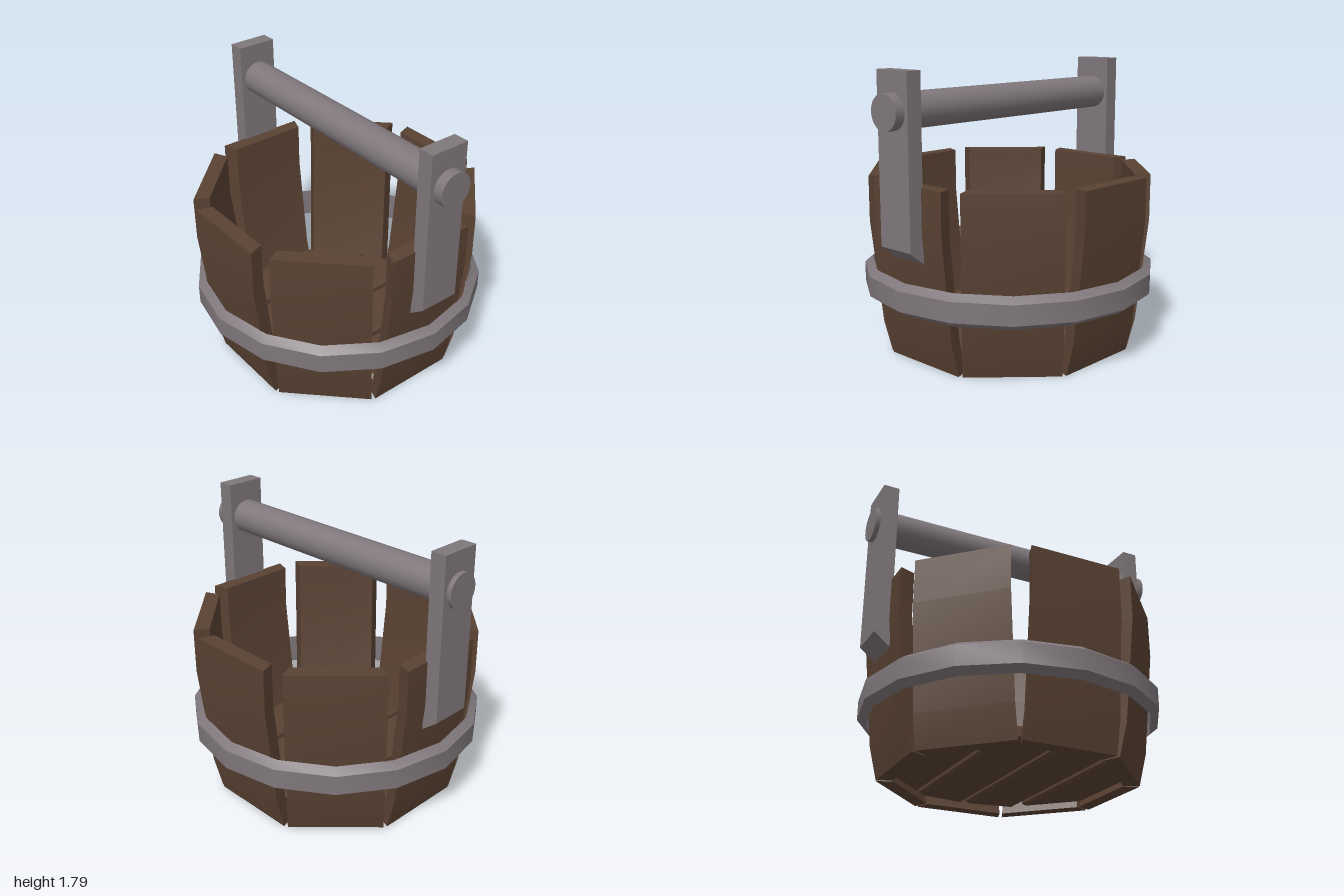
import * as THREE from 'three';
import { toCreasedNormals } from 'three/addons/utils/BufferGeometryUtils.js';

const wood = new THREE.MeshStandardMaterial({ color: 0x5a4233 });
wood.name = 'brown wood';
const iron = new THREE.MeshStandardMaterial({ color: 0x7f777b });
iron.name = 'grey iron';

function addMesh(parent, name, geometry, material) {
  const mesh = new THREE.Mesh(geometry, material);
  mesh.name = name;
  parent.add(mesh);
  return mesh;
}

// A stave is a box bent along a [height, outer distance] profile, narrower inside
function staveGeometry() {
  const profile = [[0, 0.745], [0.2, 0.795], [0.85, 0.865], [1.13, 0.865]];
  const geo = new THREE.BoxGeometry(2, 3, 1, 1, 3, 1);
  const p = geo.attributes.position;
  for (let i = 0; i < p.count; i++) {
    const [y, outer] = profile[Math.round(p.getY(i) + 1.5)];
    const inside = p.getZ(i) < 0;
    p.setXYZ(i, p.getX(i) * (inside ? 0.26 : 0.295), y, inside ? outer - 0.095 : outer);
  }
  return toCreasedNormals(geo, 0.4);
}

// A floor plank between x0 and x1, its ends cut to fit the octagon of staves
function plankGeometry(x0, x1) {
  const bevel = 0.025;
  const reach = (x) => Math.min(0.67, 0.945 - Math.abs(x)) - bevel;
  const a = x0 + bevel, b = x1 - bevel;
  const shape = new THREE.Shape([
    new THREE.Vector2(a, -reach(a)), new THREE.Vector2(b, -reach(b)),
    new THREE.Vector2(b, reach(b)), new THREE.Vector2(a, reach(a)),
  ]);
  const geo = new THREE.ExtrudeGeometry(shape, {
    depth: 0.05, bevelEnabled: true, bevelSize: bevel, bevelThickness: 0.02, bevelSegments: 1,
  });
  return geo.rotateX(-Math.PI / 2).translate(0, 0.06, 0);
}

// Upright bar with a slanted foot, standing on the given side (+1 or -1)
function uprightGeometry(side) {
  const shape = new THREE.Shape([
    new THREE.Vector2(side * 0.852, 0.68), new THREE.Vector2(side * 0.953, 0.76),
    new THREE.Vector2(side * 0.953, 1.795), new THREE.Vector2(side * 0.852, 1.795),
  ]);
  return new THREE.ExtrudeGeometry(shape, { depth: 0.26, bevelEnabled: false }).translate(0, 0, -0.13);
}

export function createModel() {
  const model = new THREE.Group();
  model.name = 'bucket';

  // The tub sits slightly off centre under the grip
  const tub = new THREE.Group();
  tub.name = 'tub';
  tub.position.x = -0.017;
  model.add(tub);

  const stave = staveGeometry();
  for (let i = 0; i < 8; i++) {
    addMesh(tub, 'stave', stave, wood).rotation.y = (i * Math.PI) / 4;
  }

  // Floor planks, two on each side of the middle gap
  for (const [x0, x1] of [[-0.7, -0.37], [-0.345, -0.012], [0.012, 0.345], [0.37, 0.7]]) {
    addMesh(tub, 'floorPlank', plankGeometry(x0, x1), wood);
  }

  // Sixteen-sided hoop with bevelled outer edges
  const hoopProfile = [[0.888, 0.545], [0.888, 0.345], [0.94, 0.382], [0.94, 0.508], [0.888, 0.545]]
    .map(([r, y]) => new THREE.Vector2(r, y));
  addMesh(tub, 'hoop', toCreasedNormals(new THREE.LatheGeometry(hoopProfile, 16), 0.5), iron);

  // Handle: two uprights and the round grip through them
  addMesh(tub, 'leftUpright', uprightGeometry(1), iron);
  addMesh(tub, 'rightUpright', uprightGeometry(-1), iron);
  const grip = new THREE.CylinderGeometry(0.108, 0.108, 2, 32).rotateZ(Math.PI / 2);
  addMesh(model, 'grip', grip, iron).position.y = 1.562;

  return model;
}
